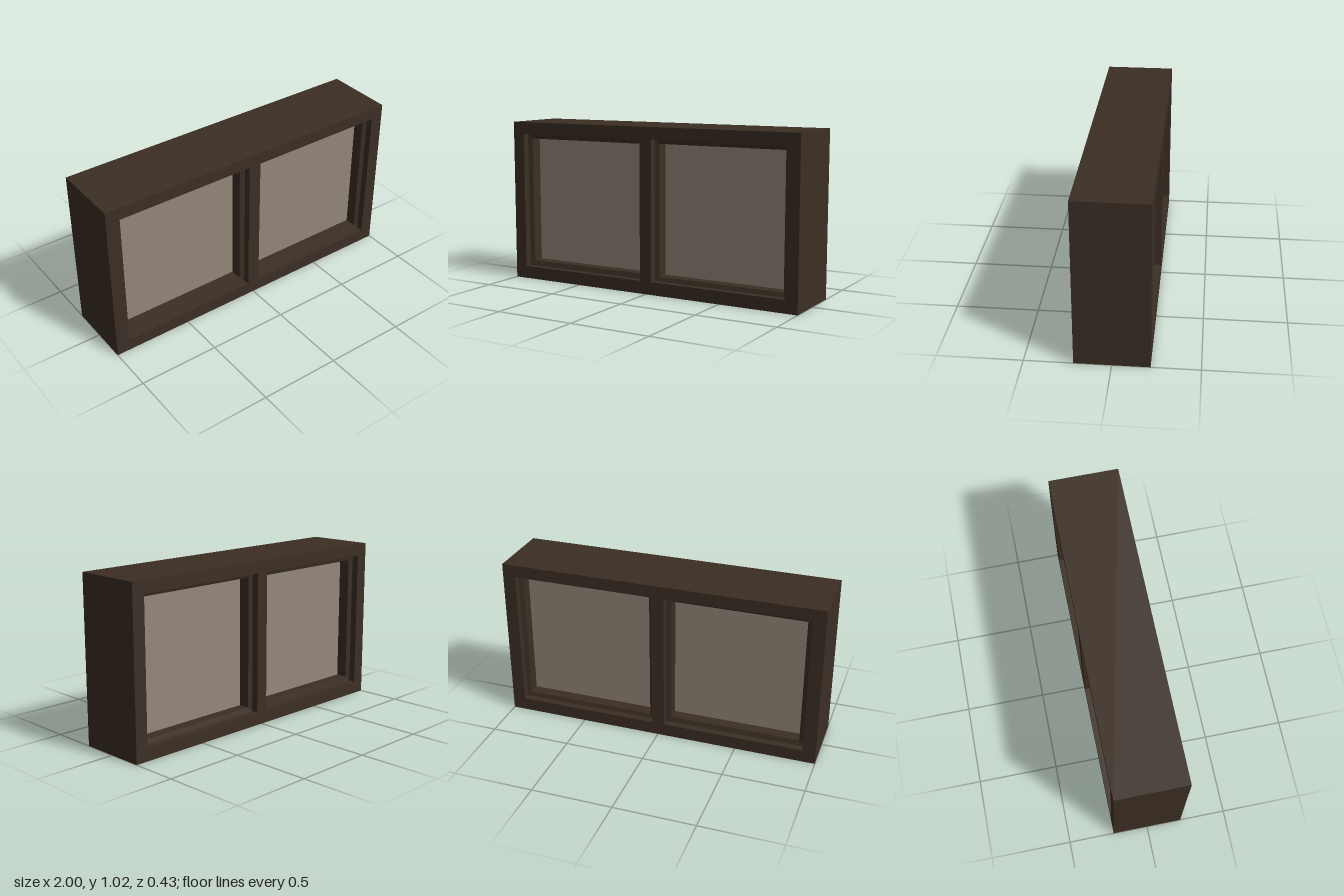
import * as THREE from 'three';

const HEIGHT = 1.025, DEPTH = 0.434;

// Openings in the outer frame, each with the inset of its sash
const OPENINGS = [
  { name: 'right', x0: -0.92, x1: -0.04, y0: 0.08, y1: 0.95, inset: 0.033 },
  { name: 'left', x0: 0.04, x1: 0.92, y0: 0.08, y1: 0.95, inset: 0.028 },
];

// Corners of an opening, counter-clockwise, moved inwards by d
const corners = (o, d = 0) => [
  [o.x0 + d, o.y0 + d], [o.x1 - d, o.y0 + d], [o.x1 - d, o.y1 - d], [o.x0 + d, o.y1 - d],
];

function outline(points, Type) {
  return new Type(points.map(([x, y]) => new THREE.Vector2(x, y)));
}

// Sweeps a profile of [inset, z] steps round an opening, with mitred corners
function mitredRing(opening, profile) {
  const rings = profile.map(([d, z]) => corners(opening, d).map(([x, y]) => [x, y, z]));
  const positions = [];
  for (let j = 0; j < rings.length - 1; j++) {
    for (let i = 0; i < 4; i++) {
      const k = (i + 1) % 4;
      const a = rings[j][i], b = rings[j][k], c = rings[j + 1][k], d = rings[j + 1][i];
      positions.push(...a, ...b, ...c, ...a, ...c, ...d);
    }
  }
  const geometry = new THREE.BufferGeometry();
  geometry.setAttribute('position', new THREE.Float32BufferAttribute(positions, 3));
  geometry.computeVertexNormals();
  return geometry;
}

export function createModel() {
  const model = new THREE.Group();
  model.name = 'window';
  const frameMaterial = new THREE.MeshStandardMaterial({ color: 0x3b2f24 });
  const glassMaterial = new THREE.MeshStandardMaterial({ color: 0x94877a });

  const add = (name, geometry, material) => {
    const mesh = new THREE.Mesh(geometry, material);
    mesh.name = name;
    model.add(mesh);
    return mesh;
  };

  // Deep outer frame with a central mullion
  const face = outline([[-1, 0], [1, 0], [1, HEIGHT], [-1, HEIGHT]], THREE.Shape);
  for (const o of OPENINGS) face.holes.push(outline(corners(o).reverse(), THREE.Path));
  const frame = new THREE.ExtrudeGeometry(face, { depth: DEPTH, bevelEnabled: false });
  frame.translate(0, 0, -DEPTH / 2);
  add('outerFrame', frame, frameMaterial);

  for (const o of OPENINGS) {
    // Sash: recessed face, then a deeper reveal down to the glass, on both sides
    const front = [[0, 0.174], [o.inset, 0.166]];
    const back = front.map(([d, z]) => [d, -z]).reverse();
    add(o.name + 'Sash', mitredRing(o, [...front, ...back]), frameMaterial);

    // Double-glazed unit
    const w = o.x1 - o.x0 - 2 * o.inset, h = o.y1 - o.y0 - 2 * o.inset;
    const glass = add(o.name + 'Glass', new THREE.BoxGeometry(w, h, 0.19), glassMaterial);
    glass.position.set((o.x0 + o.x1) / 2, (o.y0 + o.y1) / 2, 0);
  }
  return model;
}
